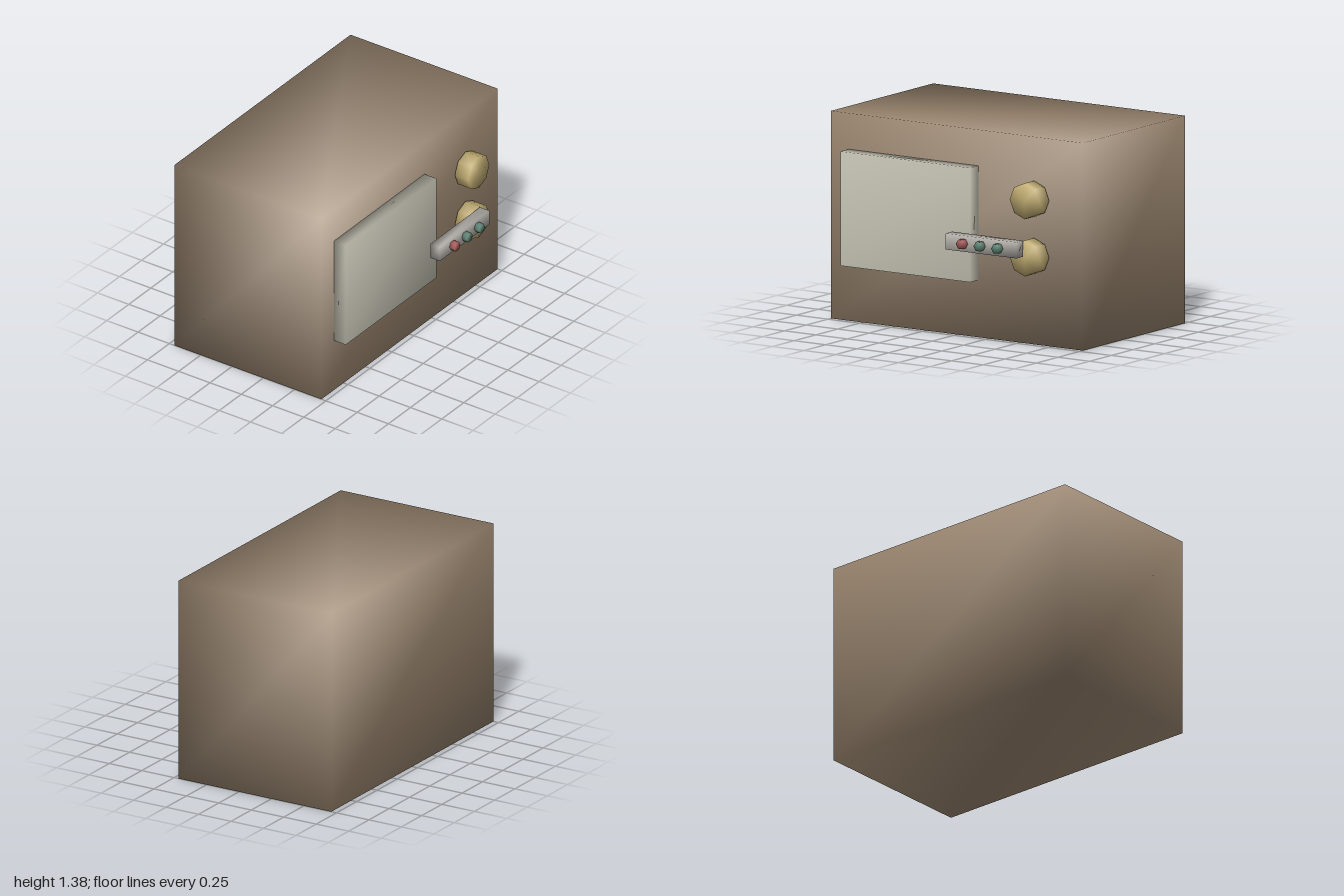
import * as THREE from 'three';
import { mergeVertices } from 'three/addons/utils/BufferGeometryUtils.js';

const paint = (color) => new THREE.MeshStandardMaterial({ color });

// Share the corners so the shading rolls smoothly over every edge
function soften(geometry) {
  geometry.deleteAttribute('normal');
  geometry.deleteAttribute('uv');
  const soft = mergeVertices(geometry);
  soft.computeVertexNormals();
  return soft;
}

// Box given by its lower and upper limits on each axis
function slab(name, [x0, x1], [y0, y1], [z0, z1], material) {
  const mesh = new THREE.Mesh(soften(new THREE.BoxGeometry(x1 - x0, y1 - y0, z1 - z0)), material);
  mesh.position.set((x0 + x1) / 2, (y0 + y1) / 2, (z0 + z1) / 2);
  mesh.name = name;
  return mesh;
}

// Faceted disc facing forward, with a corner on the x axis
function disc(name, radius, sides, x, y, [z0, z1], material) {
  const geometry = new THREE.CylinderGeometry(radius, radius, z1 - z0, sides, 1, false, Math.PI / 2);
  geometry.rotateX(Math.PI / 2);
  const mesh = new THREE.Mesh(soften(geometry), material);
  mesh.position.set(x, y, (z0 + z1) / 2);
  mesh.name = name;
  return mesh;
}

export function createModel() {
  const model = new THREE.Group();
  model.name = 'television';

  const brown = paint(0x9c8770);
  const screenGrey = paint(0xcac8b8);
  const barGrey = paint(0xb4b0aa);
  const brass = paint(0xc0ac72);
  const red = paint(0xa85c5a);
  const green = paint(0x5f8474);

  // Cabinet and raised screen
  model.add(slab('cabinet', [-1, 1], [0, 1.38], [-0.71, 0.465], brown));
  model.add(slab('screen', [-0.86, 0.17], [0.38, 1.14], [0.465, 0.56], screenGrey));

  // Two tuning knobs, one above the other
  for (const [name, y] of [['upperKnob', 0.97], ['lowerKnob', 0.59]]) {
    model.add(disc(name, 0.12, 8, 0.62, y, [0.475, 0.582], brass));
  }

  // Remote control floating in front, with three buttons
  const remote = new THREE.Group();
  remote.name = 'remoteControl';
  remote.add(slab('remoteBody', [0.053, 0.615], [0.603, 0.71], [0.595, 0.67], barGrey));
  [red, green, green].forEach((material, i) => {
    remote.add(disc('remoteButton' + (i + 1), 0.034, 6, 0.195 + 0.14 * i, 0.657, [0.67, 0.71], material));
  });
  model.add(remote);

  return model;
}
